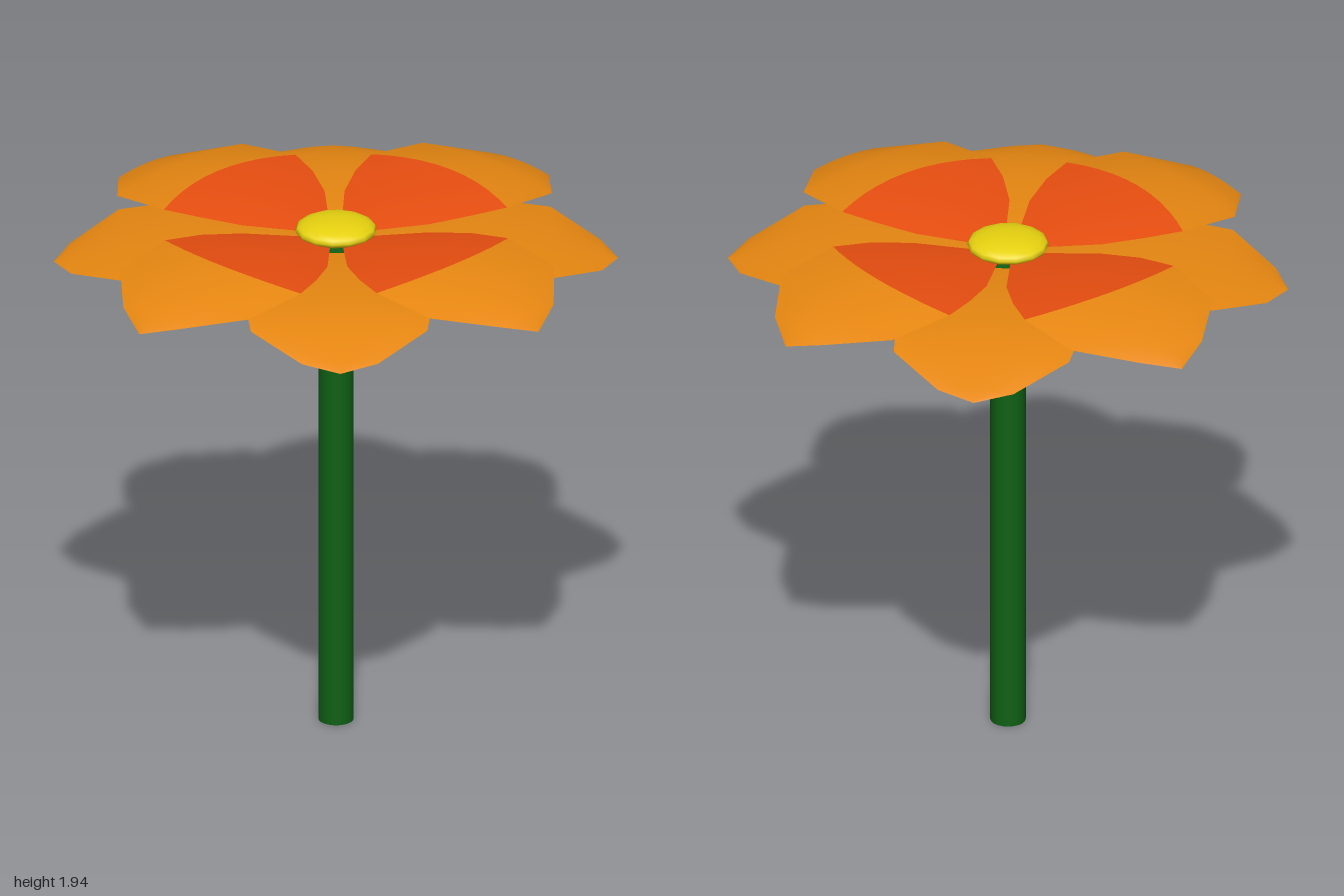
import * as THREE from 'three';

const mat = (name, color, side = THREE.FrontSide) => {
  const m = new THREE.MeshStandardMaterial({ color, side });
  m.name = name;
  return m;
};

// Sheet along +x from cross rows: [distance, half width, middle height, edge sag, edge pull-back]
function sheet(rows, cols = 10) {
  const pos = [], idx = [], n = cols + 1;
  rows.forEach(([u, w, y, sag, bow = 0], i) => {
    for (let j = 0; j < n; j++) {
      const t = (j / cols) * 2 - 1;
      pos.push(u - bow * t * t, y - sag * t * t, w * t);
      if (i < rows.length - 1 && j < cols) {
        const a = i * n + j;
        idx.push(a, a + 1, a + n, a + 1, a + n + 1, a + n);
      }
    }
  });
  const g = new THREE.BufferGeometry();
  g.setAttribute('position', new THREE.Float32BufferAttribute(pos, 3));
  g.setIndex(idx);
  g.computeVertexNormals();
  return g;
}

export function createModel() {
  const flower = new THREE.Group();
  flower.name = 'flower';
  const green = mat('stem green', 0x0f6014);
  const orange = mat('petal orange', 0xec8a12, THREE.DoubleSide);
  const red = mat('petal red', 0xe84e10, THREE.DoubleSide);
  const yellow = mat('centre yellow', 0xf0da10);

  const add = (name, geometry, material, parent = flower) => {
    const m = new THREE.Mesh(geometry, material);
    m.name = name;
    parent.add(m);
    return m;
  };

  // Stem and the flared cup beneath the petals
  add('stem', new THREE.CylinderGeometry(0.063, 0.063, 1.82, 20), green).position.y = 0.91;
  const cup = [[0.06, 1.795], [0.12, 1.825], [0.2, 1.855], [0.33, 1.89]];
  add('cup', new THREE.LatheGeometry(cup.map(p => new THREE.Vector2(...p)), 24), green);

  // Domed centre
  const centre = add('centre', new THREE.SphereGeometry(0.145, 14, 10), yellow);
  centre.scale.y = 0.28;
  centre.position.y = 1.895;

  // Upper petals have a red base; lower petals fill the diagonals
  const border = [0.585, 0.335, 1.94, 0.025, 0.06];
  const upperBase = sheet([
    [0.08, 0.05, 1.875, 0], [0.26, 0.21, 1.908, 0.012], [0.42, 0.286, 1.93, 0.02, 0.025], border,
  ]);
  const upperTip = sheet([
    border, [0.77, 0.318, 1.917, 0.03], [0.94, 0.138, 1.86, 0.012], [1, 0, 1.805, 0],
  ]);
  const lower = sheet([
    [0.08, 0.05, 1.838, 0], [0.26, 0.21, 1.862, 0.01], [0.53, 0.335, 1.877, 0.015],
    [0.765, 0.313, 1.852, 0.014], [0.94, 0.135, 1.802, 0.014], [1, 0, 1.776, 0],
  ]);

  for (let i = 0; i < 4; i++) {
    const petal = new THREE.Group();
    petal.name = 'upperPetal';
    petal.rotation.y = (i * Math.PI) / 2;
    add('upperPetalBase', upperBase, red, petal);
    add('upperPetalTip', upperTip, orange, petal);
    flower.add(petal);
    add('lowerPetal', lower, orange).rotation.y = ((i + 0.5) * Math.PI) / 2;
  }
  return flower;
}
